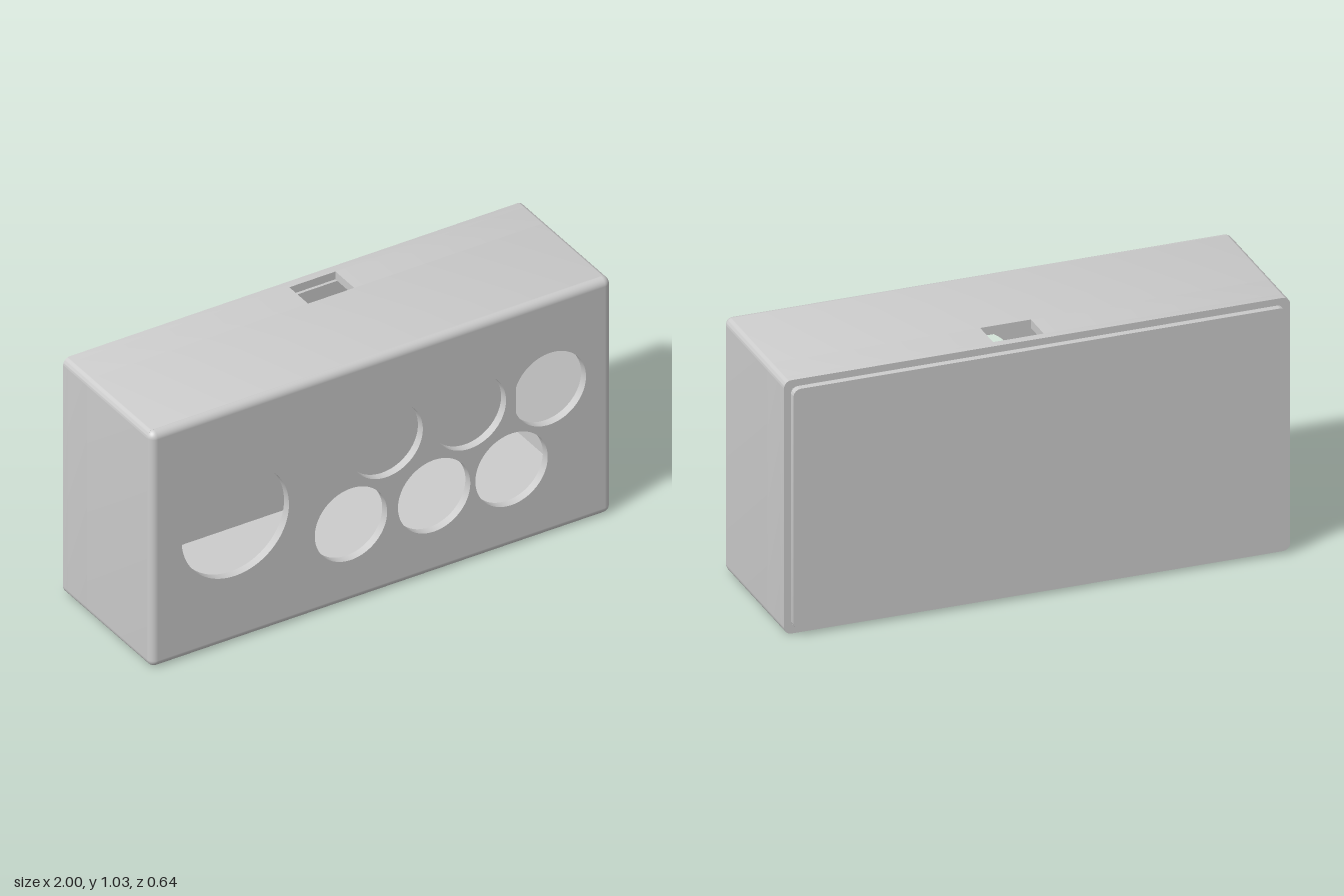
import * as THREE from 'three';
import { toCreasedNormals } from 'three/addons/utils/BufferGeometryUtils.js';

const W = 1, H = 1.03, R = 0.03, T = 0.034;   // half width, height, edge radius, wall
const BACK = -0.29, FRONT = 0.32;
const SLOT = { x0: -0.04, x1: 0.16, z0: -0.255, z1: -0.125 };
const material = new THREE.MeshStandardMaterial({ color: 0xcccccc });

function roundedRect(x0, y0, x1, y1, r, target = new THREE.Shape()) {
  target.moveTo(x1 - r, y0);
  target.absarc(x1 - r, y0 + r, r, -Math.PI / 2, 0);
  target.absarc(x1 - r, y1 - r, r, 0, Math.PI / 2);
  target.absarc(x0 + r, y1 - r, r, Math.PI / 2, Math.PI);
  target.absarc(x0 + r, y0 + r, r, Math.PI, Math.PI * 1.5);
  target.closePath();
  return target;
}

function rect(x0, y0, x1, y1, target = new THREE.Shape()) {
  target.moveTo(x0, y0).lineTo(x1, y0).lineTo(x1, y1).lineTo(x0, y1).closePath();
  return target;
}

function slab(name, shape, z0, z1, curveSegments = 8) {
  const g = new THREE.ExtrudeGeometry(shape, { depth: z1 - z0, bevelEnabled: false, curveSegments });
  g.translate(0, 0, z0);
  const mesh = new THREE.Mesh(toCreasedNormals(g, 0.6), material);
  mesh.name = name;
  return mesh;
}

// Closed tube of walls, with square inner corners
function wallRing() {
  const shape = roundedRect(-W, 0, W, H, R);
  shape.holes.push(rect(-W + T, T, W - T, H - T, new THREE.Path()));
  return shape;
}

// The same walls with a gap in the top for the slot
function slottedRing() {
  const s = new THREE.Shape();
  s.moveTo(SLOT.x0, H).lineTo(-W + R, H);
  s.absarc(-W + R, H - R, R, Math.PI / 2, Math.PI);
  s.absarc(-W + R, R, R, Math.PI, Math.PI * 1.5);
  s.absarc(W - R, R, R, -Math.PI / 2, 0);
  s.absarc(W - R, H - R, R, 0, Math.PI / 2);
  s.lineTo(SLOT.x1, H).lineTo(SLOT.x1, H - T).lineTo(W - T, H - T).lineTo(W - T, T);
  s.lineTo(-W + T, T).lineTo(-W + T, H - T).lineTo(SLOT.x0, H - T).closePath();
  return s;
}

// Rounded rim between the walls and the front panel
function frontFillet() {
  const N = 8, pos = [], nor = [], idx = [];
  const corners = [[W - R, R, -90], [W - R, H - R, 0], [-W + R, H - R, 90], [-W + R, R, 180]];
  const perLoop = corners.length * (N + 1);
  for (let j = 0; j <= N; j++) {
    const t = (j / N) * Math.PI / 2;
    for (const [cx, cy, start] of corners) {
      for (let i = 0; i <= N; i++) {
        const a = THREE.MathUtils.degToRad(start + (90 * i) / N);
        const n = [Math.cos(a) * Math.cos(t), Math.sin(a) * Math.cos(t), Math.sin(t)];
        nor.push(...n);
        pos.push(cx + R * n[0], cy + R * n[1], FRONT - R + R * n[2]);
      }
    }
  }
  for (let j = 0; j < N; j++) {
    for (let i = 0; i < perLoop; i++) {
      const a = j * perLoop + i, b = j * perLoop + (i + 1) % perLoop;
      idx.push(a, b, b + perLoop, a, b + perLoop, a + perLoop);
    }
  }
  const g = new THREE.BufferGeometry();
  g.setAttribute('position', new THREE.Float32BufferAttribute(pos, 3));
  g.setAttribute('normal', new THREE.Float32BufferAttribute(nor, 3));
  g.setIndex(idx);
  const mesh = new THREE.Mesh(g, material);
  mesh.name = 'frontRoundedEdge';
  return mesh;
}

export function createModel() {
  const model = new THREE.Group();
  model.name = 'enclosure';

  // Walls in three lengths, the middle one open for the top slot
  const walls = new THREE.Group();
  walls.name = 'walls';
  walls.add(
    slab('backWalls', wallRing(), BACK, SLOT.z0),
    slab('slottedWalls', slottedRing(), SLOT.z0, SLOT.z1),
    slab('frontWalls', wallRing(), SLOT.z1, FRONT - R)
  );

  // Front panel with one large and six small round openings
  const panel = rect(-W + R, R, W - R, H - R);
  const openings = [
    [-0.635, 0.52, 0.233],
    [0.022, 0.65, 0.157], [0.383, 0.65, 0.157], [0.73, 0.636, 0.157],
    [-0.133, 0.34, 0.157], [0.228, 0.34, 0.157], [0.564, 0.34, 0.157],
  ];
  for (const [x, y, r] of openings) {
    panel.holes.push(new THREE.Path().absarc(x, y, r, 0, Math.PI * 2, true));
  }

  // Back lid with an inner plug, set off from the walls by a thin gap
  const lid = new THREE.Group();
  lid.name = 'backLid';
  lid.add(
    slab('lidPlate', roundedRect(-0.975, 0.028, 0.975, 1.005, R), -0.322, -0.295),
    slab('lidPlug', roundedRect(-0.94, 0.067, 0.94, 0.975, 0.01), -0.295, -0.27)
  );

  model.add(walls, slab('frontPanel', panel, FRONT - T, FRONT, 48), frontFillet(), lid);
  return model;
}
